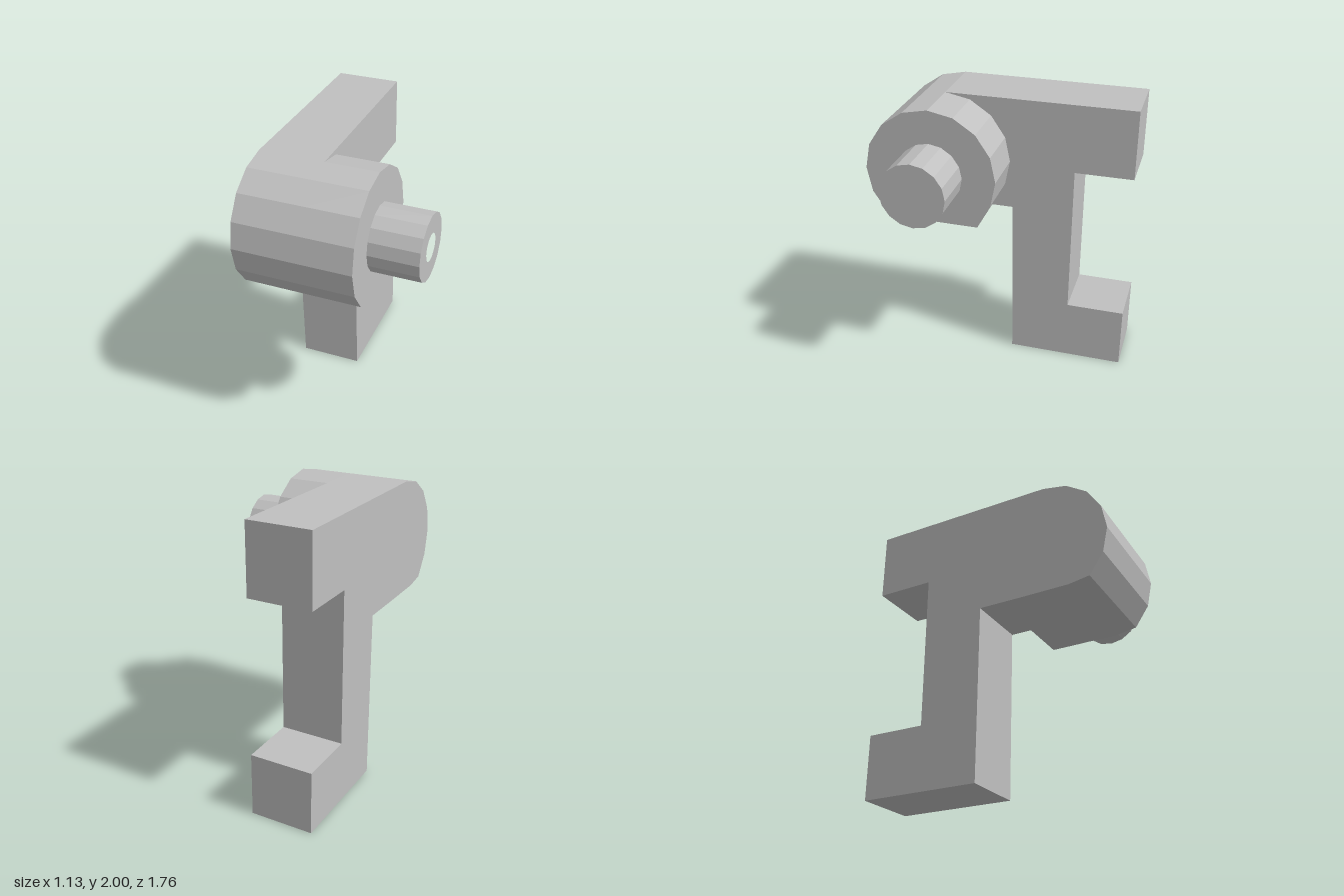
import * as THREE from 'three';

const SIDES = 16;
const CENTER = { z: 0.425, y: 1.547 };

// Regular polygon ring of [z, y] points around the boss axis
function ring(radius) {
  return Array.from({ length: SIDES }, (_, i) => {
    const a = (i / SIDES) * Math.PI * 2;
    return [CENTER.z + radius * Math.cos(a), CENTER.y + radius * Math.sin(a)];
  });
}

// Side profile in [z, y] turned into shape space (shape x = -z)
const toPoints = (profile) => profile.map(([z, y]) => new THREE.Vector2(-z, y));

// Extrudes a side profile along x from x0 to x1
function sideExtrude(name, profile, x0, x1, material, hole) {
  const shape = new THREE.Shape(toPoints(profile));
  if (hole) shape.holes.push(new THREE.Path(toPoints(hole)));
  const geometry = new THREE.ExtrudeGeometry(shape, { depth: x1 - x0, bevelEnabled: false });
  geometry.rotateY(Math.PI / 2);
  geometry.translate(x0, 0, 0);
  const mesh = new THREE.Mesh(geometry, material);
  mesh.name = name;
  return mesh;
}

export function createModel() {
  const group = new THREE.Group();
  group.name = 'bracketWithSpigot';
  const grey = new THREE.MeshStandardMaterial({ color: 0xc0c0c0, flatShading: true });
  grey.name = 'light grey';

  // Boss outline: polygon with its underside cut flat
  const outer = ring(0.453);
  const boss = [
    ...outer.slice(0, 10),
    [0.1, 1.2], [0.26, 1.2], [0.6, 1.203],
    ...outer.slice(14),
  ];

  // C-shaped bracket with the rounded front nose
  const bracket = [
    [-0.883, 2], ...outer.slice(0, 5).reverse(), ...outer.slice(14).reverse(),
    [0.6, 1.203], [0.26, 1.2], [-0.05, 1.2], [-0.055, 0], [-0.883, 0],
    [-0.883, 0.445], [-0.475, 0.445], [-0.48, 1.52], [-0.883, 1.52],
  ];

  group.add(
    sideExtrude('bracket', bracket, -0.565, -0.125, grey),
    sideExtrude('boss', boss, -0.125, 0.23, grey),
    // Hollow spigot, its bore ending at the boss face
    sideExtrude('spigot', ring(0.224), 0.23, 0.563, grey, ring(0.092)),
  );
  return group;
}
